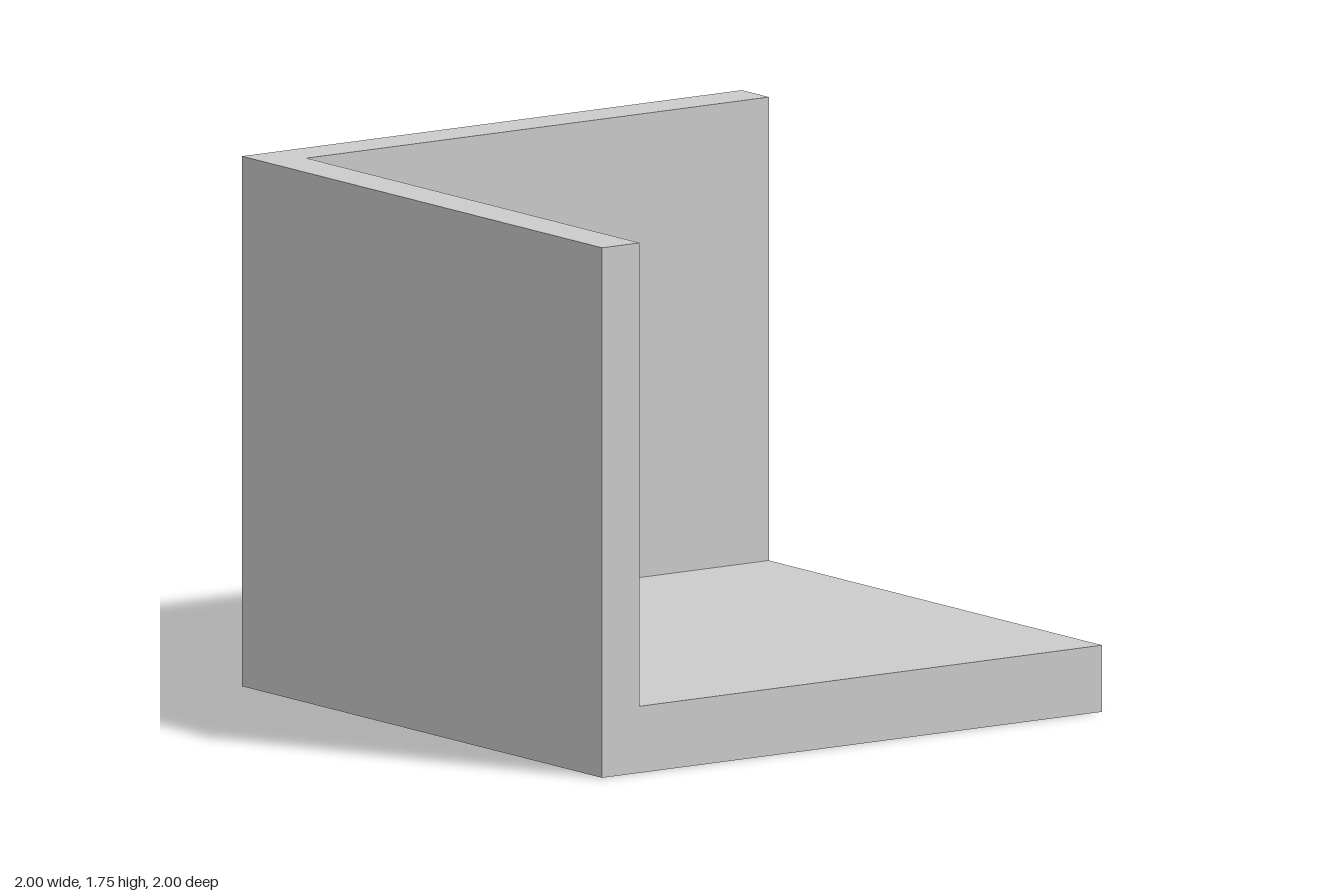
import * as THREE from 'three';

const SIZE = 2, HEIGHT = 1.75, FLOOR = 0.22, WALL = 0.15;

export function createModel() {
  const model = new THREE.Group();
  model.name = 'cornerRoom';
  const material = new THREE.MeshStandardMaterial({ color: 0xcccccc, flatShading: true });

  // Thick square floor slab
  const floor = new THREE.Mesh(new THREE.BoxGeometry(SIZE, FLOOR, SIZE), material);
  floor.name = 'floor';
  floor.position.y = FLOOR / 2;
  model.add(floor);

  // L-shaped plan of the side wall (-x) and back wall (-z), raised from the floor
  const h = SIZE / 2, inner = h - WALL;
  const plan = new THREE.Shape([
    [-h, -h], [-inner, -h], [-inner, inner], [h, inner], [h, h], [-h, h],
  ].map(([x, y]) => new THREE.Vector2(x, y)));
  const wallGeometry = new THREE.ExtrudeGeometry(plan, { depth: HEIGHT - FLOOR, bevelEnabled: false });
  wallGeometry.rotateX(-Math.PI / 2);
  const walls = new THREE.Mesh(wallGeometry, material);
  walls.name = 'cornerWalls';
  walls.position.y = FLOOR;
  model.add(walls);

  return model;
}
